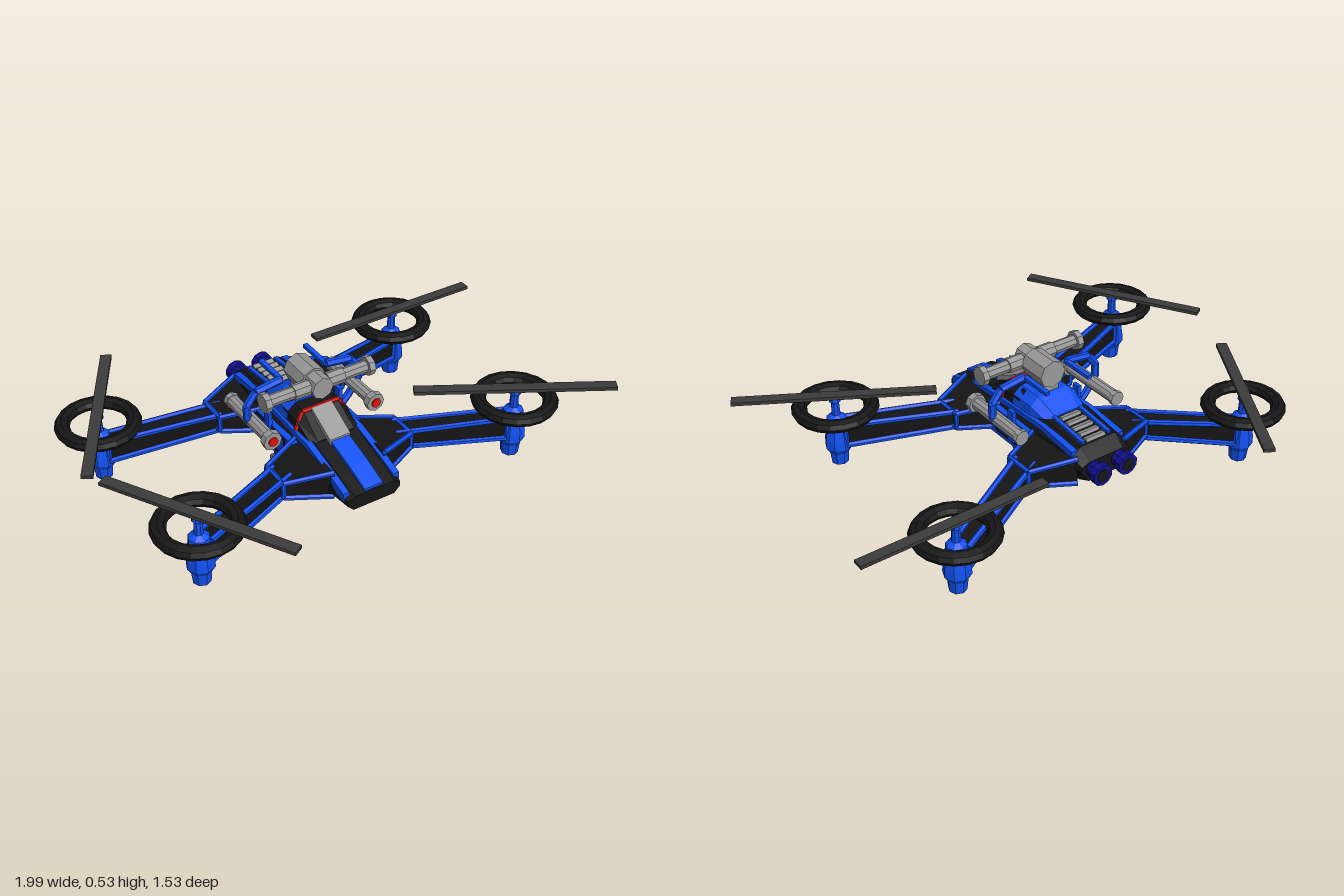
import * as THREE from 'three';

const mat = (color) => new THREE.MeshStandardMaterial({ color, flatShading: true });
const BLUE = mat(0x1150f0), BLACK = mat(0x151515), GREY = mat(0x999999);
const BLADE = mat(0x3c3c3c), RED = mat(0xe01010), NAVY = mat(0x10108c);
const V = (x, y, z) => new THREE.Vector3(x, y, z);

function add(parent, name, geo, material, x = 0, y = 0, z = 0) {
  const m = new THREE.Mesh(geo, material);
  m.name = name;
  m.position.set(x, y, z);
  parent.add(m);
  return m;
}

// Closed skin through rings of equal point count, turned outward by its signed volume
function loft(rings) {
  const n = rings[0].length, tris = [];
  for (let r = 0; r < rings.length - 1; r++) {
    for (let i = 0; i < n; i++) {
      const j = (i + 1) % n, a = rings[r], b = rings[r + 1];
      tris.push([a[i], a[j], b[j]], [a[i], b[j], b[i]]);
    }
  }
  const first = rings[0], last = rings[rings.length - 1];
  for (let i = 1; i < n - 1; i++) {
    tris.push([first[0], first[i + 1], first[i]], [last[0], last[i], last[i + 1]]);
  }
  const c = first[0];
  let vol = 0;
  for (const [p, q, s] of tris) {
    vol += p.clone().sub(c).dot(q.clone().sub(c).cross(s.clone().sub(c)));
  }
  const pts = tris.flatMap(([p, q, s]) => (vol > 0 ? [p, q, s] : [p, s, q]));
  const g = new THREE.BufferGeometry().setFromPoints(pts);
  g.computeVertexNormals();
  return g;
}

// Straight round or faceted bar between two points
function rod(parent, name, a, b, r, material, sides = 6, r2 = r) {
  const g = new THREE.CylinderGeometry(r2, r, a.distanceTo(b), sides);
  const m = add(parent, name, g, material);
  m.position.copy(a).add(b).multiplyScalar(0.5);
  m.quaternion.setFromUnitVectors(V(0, 1, 0), b.clone().sub(a).normalize());
  return m;
}

// Dark tapered beam with blue edge rails
function railedBeam(parent, name, ringA, ringB, r) {
  add(parent, name, loft([ringA, ringB]), BLACK);
  ringA.forEach((p, i) => {
    rod(parent, name + 'Rail', p, ringB[i], r, BLUE);
    rod(parent, name + 'EndTrim', ringB[i], ringB[(i + 1) % 4], r * 0.9, BLUE);
  });
}

// Plate following a [z, y] path along the body
function slab(parent, name, path, x, w, th, material) {
  const rings = path.map(([z, y]) => [
    V(x - w, y - th, z), V(x + w, y - th, z), V(x + w, y + th, z), V(x - w, y + th, z)]);
  return add(parent, name, loft(rings), material);
}

// Eight-sided hull sections: [z, bottom y, middle y, top y, bottom w, middle w, top w]
function hull(sections) {
  return loft(sections.map(([z, yb, ym, yt, wb, wm, wt]) => {
    const half = [[wb, yb], [wm, ym], [(wm + wt) / 2 + 0.015, ym + (yt - ym) * 0.6], [wt, yt]];
    const mirrored = half.map(([x, y]) => [-x, y]).reverse();
    return [...half, ...mirrored].map(([x, y]) => V(x, y, z));
  }));
}

function fuselage(g) {
  add(g, 'hull', hull([
    [0.47, 0.18, 0.205, 0.24, 0.09, 0.115, 0.085],
    [0.36, 0.165, 0.21, 0.275, 0.09, 0.13, 0.09],
    [0.2, 0.15, 0.23, 0.32, 0.09, 0.145, 0.095],
    [-0.16, 0.16, 0.24, 0.345, 0.09, 0.14, 0.095],
    [-0.35, 0.18, 0.25, 0.325, 0.085, 0.125, 0.085],
    [-0.4, 0.2, 0.25, 0.285, 0.08, 0.115, 0.08]]), BLACK);
  add(g, 'canopy', hull([
    [0.21, 0.27, 0.29, 0.32, 0.08, 0.1, 0.08],
    [0.1, 0.27, 0.32, 0.39, 0.08, 0.11, 0.075],
    [0.0, 0.27, 0.32, 0.395, 0.08, 0.11, 0.075]]), BLACK);
  add(g, 'canopyRear', hull([
    [0.04, 0.27, 0.32, 0.398, 0.08, 0.113, 0.07],
    [-0.07, 0.27, 0.32, 0.398, 0.08, 0.113, 0.07],
    [-0.16, 0.27, 0.31, 0.35, 0.08, 0.1, 0.055]]), BLUE);
  add(g, 'belly', loft([[0.17, 0.09, -0.01, -0.17], [0.11, 0.06, -0.04, -0.135]].map(
    ([y, w, zf, zb]) => [V(-w, y, zf), V(w, y, zf), V(w, y, zb), V(-w, y, zb)])), BLACK);
  // Red canopy outline
  const arch = [V(-0.115, 0.325, 0.11), V(-0.08, 0.392, 0.1), V(0.08, 0.392, 0.1), V(0.115, 0.325, 0.11)];
  for (let i = 0; i < 3; i++) rod(g, 'canopyTrim', arch[i], arch[i + 1], 0.009, RED);
  // Nose stripe, hatch and rear vents
  slab(g, 'noseStripe', [[0.465, 0.24], [0.36, 0.278], [0.22, 0.318]], 0, 0.04, 0.012, BLUE);
  slab(g, 'noseHatch', [[0.24, 0.32], [0.11, 0.388]], 0, 0.045, 0.012, GREY);
  for (let i = 0; i < 5; i++) {
    const z = -0.18 - i * 0.037;
    const vent = add(g, 'rearVent', new THREE.BoxGeometry(0.09, 0.02, 0.022), GREY, 0, 0.345 + z * 0.1 + 0.015, z);
    vent.rotation.x = 0.3;
  }
  for (const s of [-1, 1]) {
    slab(g, 'sideStripe', [[0.45, 0.235], [0.36, 0.262], [0.2, 0.3], [-0.16, 0.318], [-0.35, 0.3]], s * 0.11, 0.013, 0.018, BLUE);
    slab(g, 'ventBorder', [[-0.16, 0.348], [-0.34, 0.33]], s * 0.062, 0.008, 0.008, BLUE);
    // Side panel with raised frame
    add(g, 'sidePanel', new THREE.BoxGeometry(0.05, 0.12, 0.28), BLUE, s * 0.13, 0.235, 0.005);
    for (const k of [-1, 1]) {
      add(g, 'panelFrame', new THREE.BoxGeometry(0.012, 0.008, 0.22), BLACK, s * 0.152, 0.24 + k * 0.043, -0.02);
      add(g, 'panelFrame', new THREE.BoxGeometry(0.012, 0.094, 0.008), BLACK, s * 0.152, 0.24, -0.02 + k * 0.11);
    }
    // Exhausts
    const x = s * 0.06;
    rod(g, 'exhaust', V(x, 0.25, -0.38), V(x, 0.25, -0.435), 0.034, NAVY, 10);
    rod(g, 'exhaustRim', V(x, 0.25, -0.43), V(x, 0.25, -0.46), 0.044, NAVY, 10);
    rod(g, 'exhaustCore', V(x, 0.25, -0.45), V(x, 0.25, -0.462), 0.028, BLACK, 10);
  }
}

function armAndRotor(g, s, front, bladeAngle) {
  const f = front ? 1 : -1, base = front ? 0.09 : 0, z = front ? 0.41 : -0.42;
  const rect = (x, y0, y1, z0, z1) => [V(s * x, y0, f * z0), V(s * x, y1, f * z0), V(s * x, y1, f * z1), V(s * x, y0, f * z1)];
  // Shoulder block
  railedBeam(g, 'shoulder', rect(0.11, 0.185, 0.295, 0.11, 0.37), rect(0.285, 0.205, 0.27, 0.18, 0.3), 0.011);
  // Arm, slightly wider in height toward the rotor
  const a = V(s * 0.25, 0.235, f * 0.23), b = V(s * 0.665, base + 0.135, z - f * 0.012);
  const side = b.clone().sub(a).setY(0).normalize().cross(V(0, 1, 0));
  const section = (p, w, h) => [[-1, -1], [-1, 1], [1, 1], [1, -1]].map(([i, j]) =>
    p.clone().addScaledVector(side, i * w).add(V(0, j * h, 0)));
  railedBeam(g, 'arm', section(a, 0.04, 0.034), section(b, 0.032, 0.046), 0.012);
  // Motor pod, shaft, ring and blade
  const rotor = new THREE.Group();
  rotor.name = 'rotor';
  rotor.position.set(s * 0.69, base, z);
  g.add(rotor);
  const profile = [[0, 0], [0.035, 0], [0.04, 0.05], [0.055, 0.075], [0.053, 0.11], [0.042, 0.18],
    [0.04, 0.205], [0.018, 0.22], [0.016, 0.275], [0.024, 0.28], [0.02, 0.3], [0, 0.302]];
  add(rotor, 'motorPod', new THREE.LatheGeometry(profile.map(([x, y]) => new THREE.Vector2(x, y)), 8), BLUE);
  const ring = new THREE.TorusGeometry(0.14, 0.031, 8, 20).rotateX(Math.PI / 2).scale(1, 0.8, 1);
  add(rotor, 'rotorRing', ring, BLACK, 0, 0.253, 0);
  add(rotor, 'blade', new THREE.BoxGeometry(0.785, 0.014, 0.045), BLADE, 0, 0.302, 0).rotation.y = bladeAngle;
}

function sideGun(g, s) {
  const x = s * 0.23, y = 0.335;
  rod(g, 'gunBarrel', V(x, y, -0.18), V(x, y, 0.12), 0.027, GREY, 10);
  rod(g, 'gunMuzzle', V(x, y, 0.108), V(x, y, 0.136), 0.039, GREY, 8);
  rod(g, 'gunTip', V(x, y, 0.13), V(x, y, 0.142), 0.02, RED, 8);
  rod(g, 'gunCollar', V(x, y, -0.186), V(x, y, -0.165), 0.031, GREY, 8);
  // Mounting bracket bending up to the turret
  const path = [[0.14, 0.22], [0.205, 0.29], [0.25, 0.35], [0.25, 0.41], [0.21, 0.46], [0.1, 0.475]];
  for (let i = 0; i < path.length - 1; i++) {
    rod(g, 'gunBracket', V(s * path[i][0], path[i][1], -0.02), V(s * path[i + 1][0], path[i + 1][1], -0.02), 0.016, BLUE);
  }
  add(g, 'bracketPost', new THREE.BoxGeometry(0.016, 0.14, 0.035), BLUE, s * 0.16, 0.275, -0.02);
  add(g, 'stabilizerBar', new THREE.BoxGeometry(0.02, 0.015, 0.15), BLUE, s * 0.1, 0.475, -0.095);
}

function turret(g) {
  rod(g, 'crossBar', V(-0.23, 0.478, 0.08), V(0.23, 0.478, 0.08), 0.025, GREY, 8);
  for (const s of [-1, 1]) {
    rod(g, 'crossBarEnd', V(s * 0.215, 0.478, 0.08), V(s * 0.24, 0.478, 0.08), 0.04, GREY, 8);
    rod(g, 'crossBarSleeve', V(s * 0.04, 0.478, 0.08), V(s * 0.11, 0.478, 0.08), 0.031, GREY, 8);
  }
  rod(g, 'turretHousing', V(0, 0.474, -0.07), V(0, 0.474, 0.055), 0.058, GREY, 8);
  rod(g, 'turretHub', V(0, 0.478, 0.05), V(0, 0.478, 0.12), 0.046, GREY, 8);
  add(g, 'turretMount', new THREE.BoxGeometry(0.07, 0.06, 0.08), GREY, 0, 0.415, -0.02);
}

function undercarriage(g) {
  rod(g, 'bellyCannon', V(0, 0.2, 0.095), V(0, 0.1, 0.095), 0.032, GREY, 10);
  for (const s of [-1, 1]) {
    const x = s * 0.09;
    const path = [[0.19, 0.09], [0.06, 0.025], [0.056, -0.08], [0.17, -0.08]];
    for (let i = 0; i < 3; i++) {
      rod(g, 'landingStrut', V(x, path[i][0], path[i][1]), V(x, path[i + 1][0], path[i + 1][1]), 0.013, BLUE);
    }
    rod(g, 'axleCap', V(x, 0.058, -0.08), V(s * 0.112, 0.058, -0.08), 0.021, GREY, 8);
  }
  rod(g, 'axle', V(-0.1, 0.058, -0.08), V(0.1, 0.058, -0.08), 0.012, GREY, 8);
}

export function createModel() {
  const model = new THREE.Group();
  model.name = 'quadcopter';
  const g = new THREE.Group();
  g.name = 'airframe';
  g.position.x = -0.09;
  model.add(g);
  fuselage(g);
  armAndRotor(g, 1, true, -Math.PI / 6);
  armAndRotor(g, -1, true, -Math.PI / 3);
  armAndRotor(g, 1, false, 0);
  armAndRotor(g, -1, false, Math.PI / 3);
  sideGun(g, 1);
  sideGun(g, -1);
  turret(g);
  undercarriage(g);
  return model;
}
